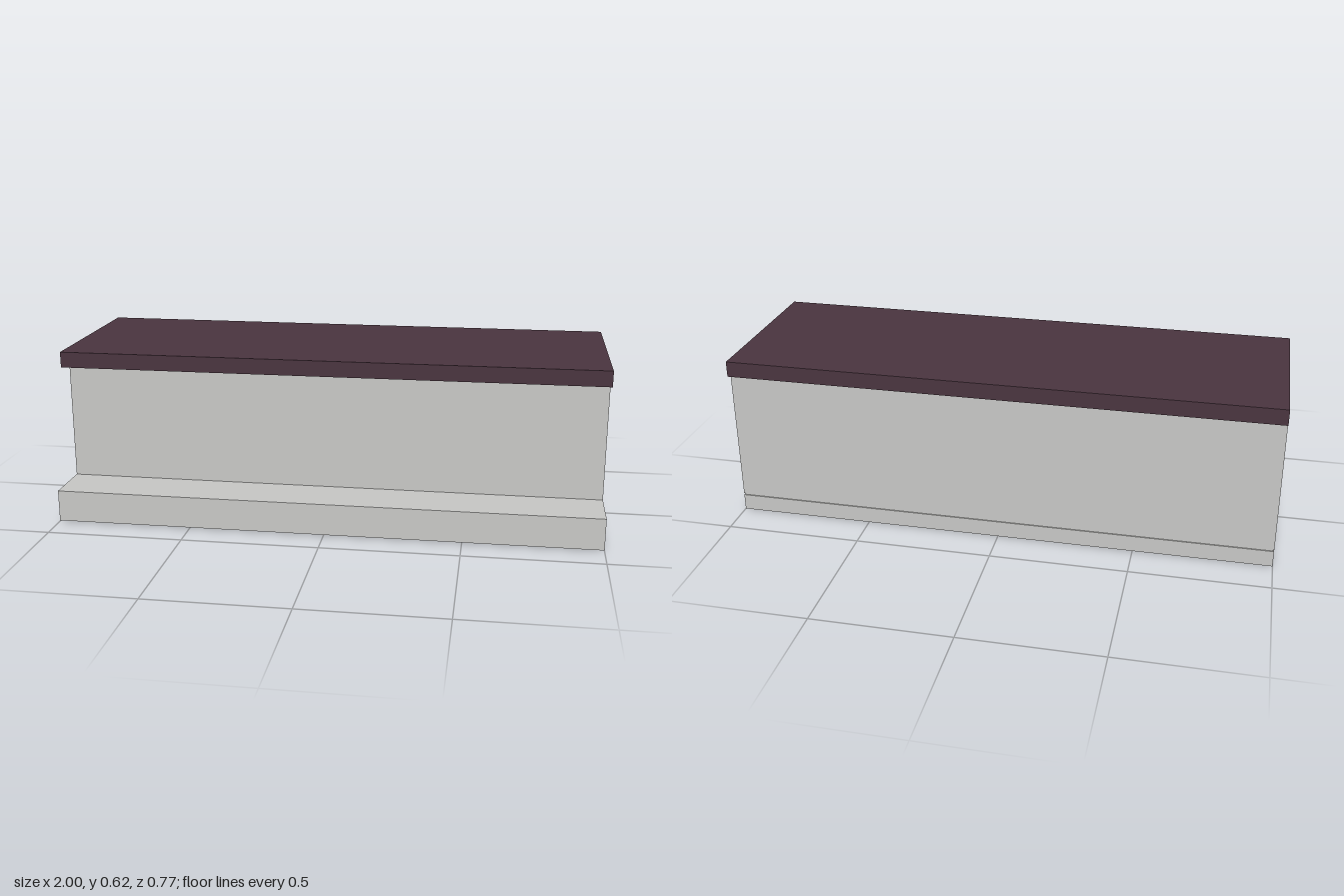
import * as THREE from 'three';

export function createModel() {
  const model = new THREE.Group();
  model.name = 'counter';

  const pale = new THREE.MeshStandardMaterial({ color: 0xc9c9c7 });
  pale.name = 'pale grey';
  pale.side = THREE.DoubleSide;
  const plum = new THREE.MeshStandardMaterial({ color: 0x4b3540 });
  plum.name = 'dark plum';

  // Box spanning the full width (less an inset) between two heights and two depths
  function slab(name, material, y0, y1, z0, z1, inset = 0) {
    const geometry = new THREE.BoxGeometry(2 - 2 * inset, y1 - y0, z1 - z0);
    const mesh = new THREE.Mesh(geometry, material);
    mesh.name = name;
    mesh.position.set(0, (y0 + y1) / 2, (z0 + z1) / 2);
    model.add(mesh);
    return mesh;
  }

  // Body, split by a thin groove running round the ends and back
  const back = -0.36, front = 0.19, grooveBottom = 0.061, grooveTop = 0.068;
  slab('lowerBody', pale, 0, grooveBottom, back, front);
  slab('upperBody', pale, grooveTop, 0.566, back, front);
  slab('grooveCore', pale, grooveBottom, grooveTop, back + 0.004, 0.176, 0.004);
  slab('grooveFrontStop', pale, grooveBottom, grooveTop, 0.176, front);

  // Front step, a hollow shell open below and against the body
  const step = slab('frontStep', pale, 0.003, 0.12, front, 0.385);
  const index = Array.from(step.geometry.index.array);
  step.geometry.setIndex([...index.slice(0, 18), ...index.slice(24, 30)]);
  step.geometry.clearGroups();

  // Overhanging top
  slab('counterTop', plum, 0.566, 0.624, -0.385, 0.274);

  return model;
}
